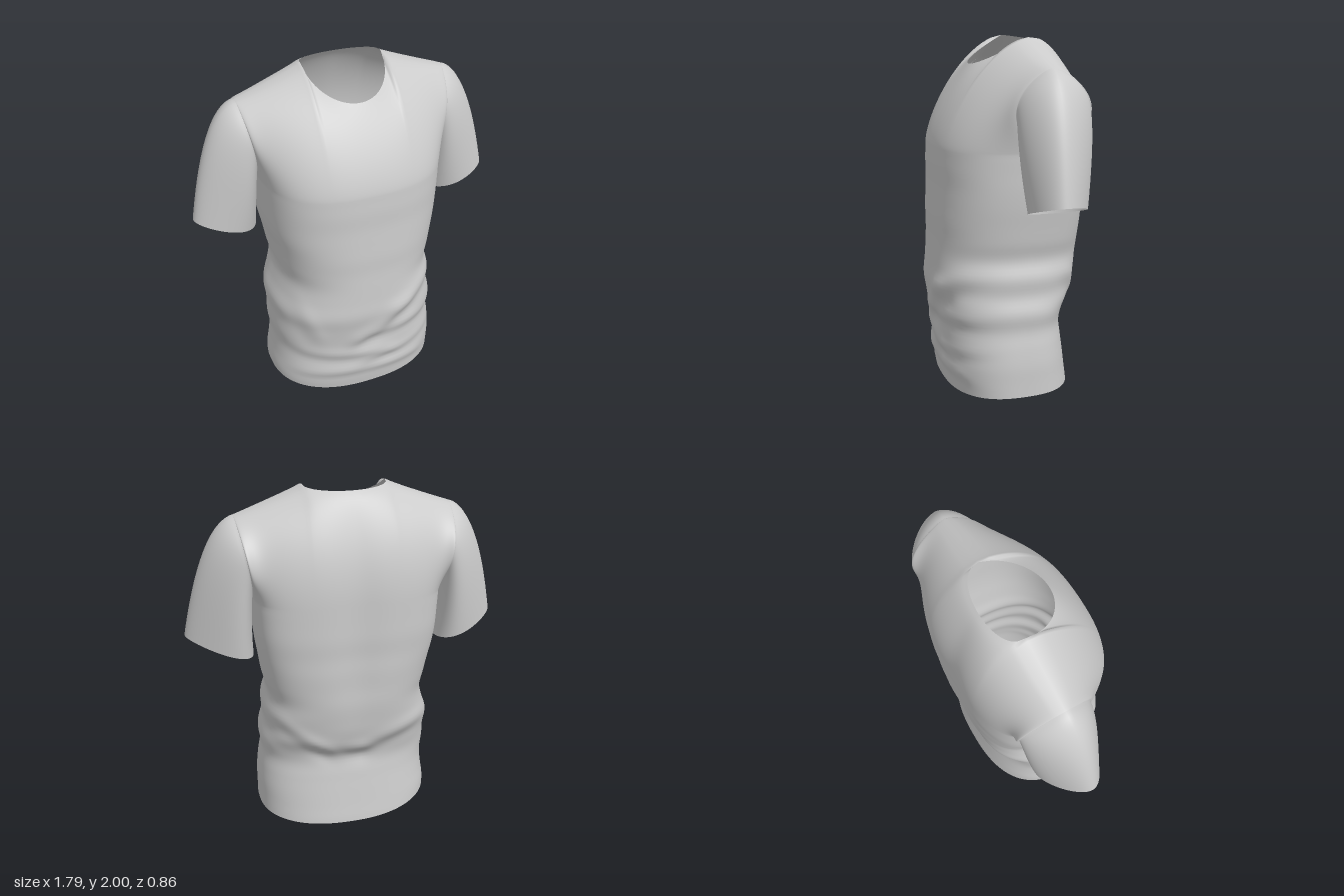
import * as THREE from 'three';
import { mergeVertices } from 'three/addons/utils/BufferGeometryUtils.js';

const HALF = 128;         // columns across the front, and again across the back
const NECK = 16;          // columns from the neckline middle to its corner
const LOW = 60, HIGH = 40; // rows below and above the armpits
const ARMPIT = 1.4, SIDE_Z = -0.1;
const V = (x, y, z) => new THREE.Vector3(x, y, z);
const { lerp, clamp, smoothstep } = THREE.MathUtils;

// Torso outline, one value per 0.1 of height from the hem to the armpits
const OUTLINE = {
  left: [.51, .51, .51, .50, .485, .495, .47, .475, .45, .47, .485, .50, .51, .515, .52],
  right: [.52, .525, .51, .50, .51, .505, .51, .475, .45, .465, .48, .50, .51, .515, .52],
  front: [.35, .37, .38, .385, .395, .41, .425, .42, .415, .41, .41, .405, .40, .40, .395],
  back: [.37, .355, .34, .325, .315, .345, .385, .405, .42, .425, .43, .43, .435, .435, .435],
};

// Smooth interpolation of evenly spaced values
function sample(a, y) {
  const f = clamp(y * 10, 0, a.length - 1), i = Math.min(Math.floor(f), a.length - 2), t = f - i;
  const p0 = a[Math.max(i - 1, 0)], p1 = a[i], p2 = a[i + 1], p3 = a[Math.min(i + 2, a.length - 1)];
  return p1 + 0.5 * t * (p2 - p0 + t * (2 * p0 - 5 * p1 + 4 * p2 - p3 + t * (3 * (p1 - p2) + p3 - p0)));
}

// Cloth folds: [x1, y1, x2, y2, width, height]
const FRONT_FOLDS = [
  [-.08, .43, .20, .60, .05, .013], [.15, .62, .48, .74, .05, .014], [-.45, .34, .10, .27, .04, .010],
  [.05, .44, .48, .47, .04, .010], [-.48, .17, .30, .13, .035, .008], [-.46, .78, -.34, .50, .05, .010],
  [.0, .22, .48, .30, .035, .008],
];
const BACK_FOLDS = [
  [-.48, .66, -.05, .52, .05, .012], [-.05, .50, .45, .58, .05, .012], [.48, .75, .15, .50, .04, .010],
];
function folds(list, x, y) {
  let h = 0;
  for (const [x1, y1, x2, y2, w, amp] of list) {
    const dx = x2 - x1, dy = y2 - y1, len = Math.hypot(dx, dy);
    const along = ((x - x1) * dx + (y - y1) * dy) / len;
    const off = ((x - x1) * dy - (y - y1) * dx) / len * Math.sign(dx);
    const out = Math.max(0, -along, along - len) / 0.08;
    const ridge = (d) => Math.exp(-((d / w) ** 2));
    h += amp * Math.exp(-out * out) * (ridge(off) - 0.8 * ridge(off - 1.6 * w));
  }
  return h;
}

const spread = (v, p) => Math.sign(v) * Math.abs(v) ** p;
const angle = (j) => (Math.PI * j) / HALF;
const across = (j) => spread(Math.cos(angle(j)), 0.8);

// A point of the lower torso at column j and height fraction t
function torsoPoint(j, t) {
  const c = across(j), isFront = j <= HALF;
  const hem = 0.025 * c * c + (c < 0 ? 0.03 * c * c : 0);
  const y = lerp(hem, ARMPIT, t);
  // the section grows squarer towards the chest and shoulder blades
  const power = lerp(0.8, isFront ? 0.68 : 0.54, smoothstep(y, 0.5, 1.3));
  const sin = j % HALF === 0 ? 0 : spread(Math.sin(angle(j)), power);
  const x = c * sample(c > 0 ? OUTLINE.left : OUTLINE.right, y);
  const mid = SIDE_Z * smoothstep(y, 0, 1.3);
  const mask = Math.min(1, Math.abs(sin) * 1.4);
  let depth = isFront ? sample(OUTLINE.front, y) - mid : sample(OUTLINE.back, y) + mid;
  depth += folds(isFront ? FRONT_FOLDS : BACK_FOLDS, x, y) * mask;
  if (!isFront) depth -= 0.02 * Math.exp(-((x / 0.13) ** 2)) * smoothstep(y, 0.5, 1);
  return V(x, y, mid + sin * depth);
}

// Upper end of a column: on the neckline near the middle, else on the shoulder seam
function topPoint(j) {
  const isFront = j <= HALF, k = (isFront ? HALF / 2 : 1.5 * HALF) - j;
  const dir = Math.sign(k) * (isFront ? 1 : -1);
  if (Math.abs(k) < NECK) {
    const phi = (1 - (1 - Math.abs(k) / NECK) ** 0.65) * Math.PI / 2, c = Math.cos(phi);
    return isFront ? V(dir * 0.23 * Math.sin(phi), 2 - 0.15 * c, SIDE_Z + 0.27 * c)
      : V(dir * 0.23 * Math.sin(phi), 2 - 0.02 * c, SIDE_Z - 0.13 * c ** 0.8);
  }
  const s0 = across(HALF / 2 - NECK), q = clamp((Math.abs(across(j)) - s0) / (1 - s0), 0, 1);
  return V(dir * lerp(0.23, 0.6, q), 2 - 0.14 * q ** 0.9, SIDE_Z);
}

// A point of the chest or back panel between armpit level and the top
function panelPoint(j, t, isFront) {
  const a = torsoPoint(j, 1), b = topPoint(j);
  if (t === 0) return a;
  if (t === 1) return b;
  const e = Math.abs(across(j)), dir = isFront ? 1 : -1;
  const ridge = Math.abs(b.x) < 0.23 ? 2 : b.y;
  // the cloth rounds over towards the shoulder ridge
  const round = (y) => {
    const h = Math.min(1, (y - ARMPIT) / (ridge - ARMPIT));
    return isFront ? (1 - h ** 1.4) ** 0.6 : (1 - h ** 2.2) ** 0.55;
  };
  const y = lerp(a.y, b.y, t), depth = a.z - SIDE_Z;
  // the armhole keeps the panel open at the sides
  const open = (isFront ? 0.18 : 0.23) * e ** 6 * Math.sin(Math.PI * t) ** 0.7;
  // near the top the cloth is drawn to the neckline
  const draw = (b.z - SIDE_Z - depth * round(b.y)) * t ** 6;
  return V(lerp(a.x, b.x, t), y, SIDE_Z + dir * Math.hypot(depth * round(y), open) + draw);
}

// Sleeve: each point of the armhole runs along a bent path to the cuff
function sleeveRows(side) {
  const hole = [];
  for (let i = 0; i <= 2 * HIGH; i++) {
    const isFront = i <= HIGH, t = (isFront ? i : 2 * HIGH - i) / HIGH;
    const p = panelPoint(isFront ? 0 : 2 * HALF, t, isFront);
    const a = Math.PI * (1 - t), c = Math.cos(a);
    // narrower along the outer side than towards the body
    const s = Math.sin(a) * (1 - 0.3 * c);
    const bend = V(0.655 + 0.12 * c, 1.545 + 0.275 * c, SIDE_Z + (isFront ? 0.185 : -0.22) * s);
    const cuff = V(0.712 + 0.183 * c, 1.135 + 0.055 * c, -0.105 + 0.035 * c + (isFront ? 0.158 : -0.158) * s);
    hole.push(new THREE.QuadraticBezierCurve3(p, bend, cuff));
  }
  return grid(24, 2 * HIGH, (r, i) => {
    const p = hole[i].getPoint(r / 24);
    return p.setX(p.x * side);
  });
}

function grid(rows, cols, point) {
  return Array.from({ length: rows + 1 }, (_, i) => Array.from({ length: cols + 1 }, (_, j) => point(i, j)));
}

// Adds a surface through rows of points to a triangle list
function addSurface(out, rows, flip = false) {
  for (let i = 0; i < rows.length - 1; i++) {
    for (let j = 0; j < rows[i].length - 1; j++) {
      const a = rows[i][j], b = rows[i + 1][j], c = rows[i + 1][j + 1], d = rows[i][j + 1];
      for (const p of flip ? [a, c, b, a, d, c] : [a, b, c, a, c, d]) out.push(p.x, p.y, p.z);
    }
  }
}

export function createModel() {
  const group = new THREE.Group();
  group.name = 'shirt';
  const material = new THREE.MeshStandardMaterial({ color: 0xcccccc, side: THREE.DoubleSide });

  const data = [], parts = [];
  const part = (name, build) => {
    const start = data.length / 3;
    build();
    parts.push({ name, start, end: data.length / 3 });
  };
  part('body', () => {
    addSurface(data, grid(LOW, 2 * HALF, (i, j) => torsoPoint(j, i / LOW)));
    addSurface(data, grid(HIGH, HALF, (i, j) => panelPoint(j, i / HIGH, true)));
    addSurface(data, grid(HIGH, HALF, (i, j) => panelPoint(j + HALF, i / HIGH, false)));
  });
  part('leftSleeve', () => addSurface(data, sleeveRows(1)));
  part('rightSleeve', () => addSurface(data, sleeveRows(-1), true));

  // Normals are shared over the whole cloth so the armhole seams stay smooth
  const raw = new THREE.BufferGeometry();
  raw.setAttribute('position', new THREE.Float32BufferAttribute(data, 3));
  const cloth = mergeVertices(raw, 1e-5);
  cloth.computeVertexNormals();
  const index = Array.from(cloth.index.array);
  for (const { name, start, end } of parts) {
    cloth.setIndex(index.slice(start, end));
    const mesh = new THREE.Mesh(cloth.toNonIndexed(), material);
    mesh.name = name;
    group.add(mesh);
  }
  return group;
}
